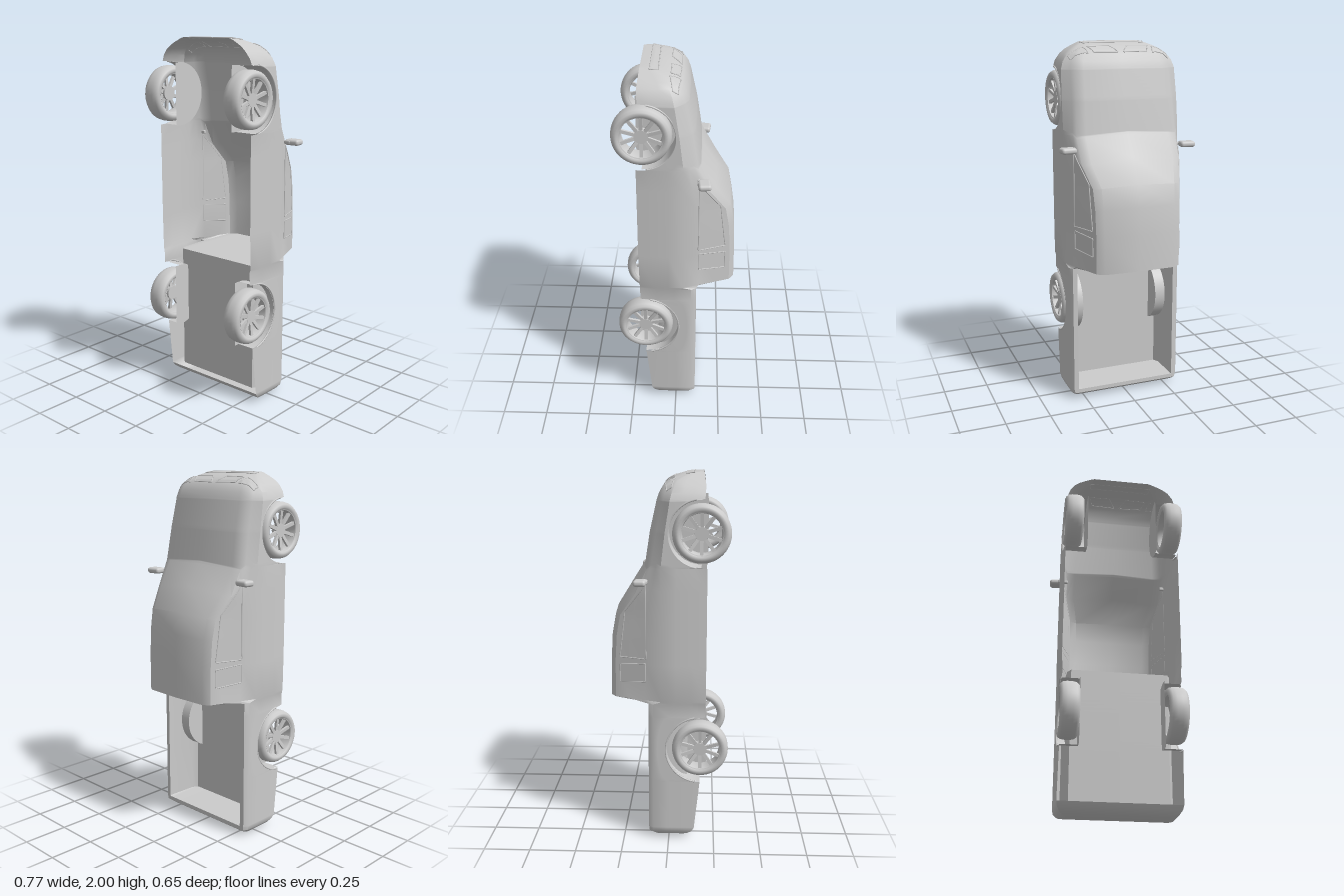
import * as THREE from 'three';
import { toCreasedNormals } from 'three/addons/utils/BufferGeometryUtils.js';
import { RoundedBoxGeometry } from 'three/addons/geometries/RoundedBoxGeometry.js';

const grey = new THREE.MeshStandardMaterial({ color: 0xcccccc, side: THREE.DoubleSide });
const { lerp } = THREE.MathUtils;
const WHEEL_Z = 0.17;
const WHEELS = [
  { end: 'Front', y: 1.695, arch: .174, inner: .2 },
  { end: 'Rear', y: .525, arch: .185, inner: .225 },
];

function add(parent, name, geometry, x = 0, y = 0, z = 0) {
  const mesh = new THREE.Mesh(geometry, grey);
  mesh.name = name;
  mesh.position.set(x, y, z);
  parent.add(mesh);
  return mesh;
}

// Surface through rows of points
function gridGeometry(rows) {
  const n = rows[0].length, index = [];
  for (let j = 0; j < rows.length - 1; j++) {
    for (let i = 0; i < n - 1; i++) {
      const a = j * n + i, b = a + 1, c = a + n, d = c + 1;
      index.push(a, b, c, b, d, c);
    }
  }
  const g = new THREE.BufferGeometry();
  g.setAttribute('position', new THREE.Float32BufferAttribute(rows.flat(2), 3));
  g.setIndex(index);
  return toCreasedNormals(g, 0.6);
}

// Value at y on a polyline of [y, value] entries
function sample(line, y, mix) {
  let k = 0;
  while (k < line.length - 2 && y > line[k + 1][0]) k++;
  const [y0, v0] = line[k], [y1, v1] = line[k + 1];
  return mix(v0, v1, (y - y0) / (y1 - y0));
}

// Half section of cabin or hood: shoulder, sloping side, rounded edge, crown
const crowned = (sx, sz, ex, ez, top) => [
  ...[0, .35, .7, 1].map(f => [lerp(sx, ex, f), lerp(sz, ez, f)]),
  [ex * .84, lerp(ez, top, .8)], [0, top],
];
// Half section of the load bed: rail, inner wall down to the floor
const bed = floor => [[.33, -.085], [.315, -.11], [.29, -.112], [.283, lerp(-.112, floor, .85)], [.265, floor], [0, floor]];
const closedTail = bed(-.112);

// Rounded tail: [y, width scale, height scale]
const TAIL = [[0, .82, 0], [.005, .88, .5], [.016, .94, .82], [.036, .985, 1], [.058, 1, 1]];
// Cabin, hood and nose: [y, shoulder x, z, edge x, z, crown z]
const CABIN = [
  [.80, .335, -.04, .24, -.292, -.325],
  [1.0, .335, -.04, .24, -.291, -.322],
  [1.15, .335, -.04, .242, -.282, -.314],
  [1.27, .335, -.04, .247, -.262, -.293],
  [1.40, .335, -.04, .28, -.183, -.213],
  [1.53, .335, -.04, .285, -.115, -.132],
  [1.70, .334, -.02, .275, -.085, -.105],
  [1.86, .328, .005, .27, -.048, -.07],
  [1.90, .314, .015, .265, -.035, -.056],
  [1.935, .287, .03, .25, -.012, -.035],
  [1.958, .258, .045, .225, .01, -.01],
  [1.976, .225, .075, .195, .045, .025],
  [1.99, .195, .105, .165, .085, .07],
  [1.998, .175, .14, .145, .127, .115],
  [2.0, .165, .18, .13, .18, .18],
];
const SECTIONS = [
  ...TAIL.map(([y, w, h]) => [y, closedTail.map(([x, z]) => [x * w, .03 + (z - .03) * h])]),
  ...[.062, .785].map(y => [y, bed(.1)]),
  ...CABIN.map(([y, ...p]) => [y, crowned(...p)]),
];
// Lower edge of the sides: [y, z]
const SILL = [[0, .03], [.005, .07], [.016, .1], [.036, .125], [.058, .14], [.34, .17], [.7, .195],
  [1, .2], [1.7, .2], [1.86, .185], [1.935, .19], [2, .18]];

function bodySection(y) {
  const top = sample(SECTIONS, y, (a, b, t) => a.map((p, i) => [lerp(p[0], b[i][0], t), lerp(p[1], b[i][1], t)]));
  let low = sample(SILL, y, lerp);
  // the lower edge rises around each wheel
  for (const w of WHEELS) {
    const d = Math.abs(y - w.y);
    if (d <= w.arch) low = Math.min(low, WHEEL_Z - Math.sqrt(w.arch ** 2 - d * d));
  }
  const [sx, sz] = top[0];
  const side = [0, .33, .67].map(f => {
    const z = lerp(low, sz, f);
    return [sx * (1 - Math.max(0, z - .03) ** 2), y, z];
  });
  // the windscreen bows forward at its centre
  const bow = .03 * Math.max(0, 1 - Math.abs(y - 1.4) / .3);
  const half = [...side, ...top.map(([x, z], i) => [x, i > 2 ? y - bow * (x / .28) ** 2 : y, z])];
  return [...half, ...half.slice(0, -1).reverse().map(([x, yy, z]) => [-x, yy, z])];
}

function bodyGeometry() {
  const ys = SECTIONS.map(s => s[0]);
  for (const { y, arch } of WHEELS) {
    for (let i = 0; i <= 24; i++) ys.push(y + (arch - 1e-6) * Math.cos(Math.PI * i / 24));
    ys.push(y - arch - .002, y + arch + .002);
  }
  return gridGeometry([...new Set(ys)].sort((a, b) => a - b).map(bodySection));
}

// Four-cornered panel laid onto the body along a ray direction, edged with a thin trim
function addPanel(model, body, name, corners, dir) {
  const [a, b, c, d] = corners.map(p => new THREE.Vector3(...p));
  const ray = new THREE.Raycaster(), rows = [], n = 10;
  for (let j = 0; j <= n; j++) {
    const row = [];
    for (let i = 0; i <= n; i++) {
      const p = a.clone().lerp(b, i / n).lerp(d.clone().lerp(c, i / n), j / n);
      ray.set(p.clone().addScaledVector(dir, -3), dir);
      const hit = ray.intersectObject(body)[0];
      row.push((hit ? hit.point : p).clone().addScaledVector(dir, -.002));
    }
    rows.push(row);
  }
  add(model, name, gridGeometry(rows.map(row => row.map(p => p.toArray()))));
  const border = [
    ...rows[0], ...rows.slice(1).map(r => r[n]),
    ...rows[n].slice(0, n).reverse(), ...rows.slice(1, n).map(r => r[0]).reverse(),
  ];
  const path = new THREE.CatmullRomCurve3(border, true, 'centripetal');
  add(model, name + 'Trim', new THREE.TubeGeometry(path, 120, .003, 6, true));
}

function makeWheel() {
  const wheel = new THREE.Group();
  const lathe = pts => new THREE.LatheGeometry(pts.map(p => new THREE.Vector2(...p)), 48);
  const tireHalf = [[.153, .015], [.149, .036], [.138, .05], [.122, .052], [.112, .044]];
  add(wheel, 'tire', lathe([...tireHalf.map(([r, h]) => [r, -h]).reverse(), ...tireHalf]));
  add(wheel, 'rim', toCreasedNormals(lathe([[.113, .046], [.108, .044], [.105, .03], [.103, -.03],
    [.108, -.044], [.113, -.046]]), .6));
  add(wheel, 'hub', new THREE.CylinderGeometry(.036, .04, .03, 24), 0, .015);
  // Spokes dish gently towards the hub
  for (let i = 0; i < 10; i++) {
    const pivot = new THREE.Group();
    pivot.rotation.y = i * Math.PI / 5;
    const spoke = add(pivot, 'spoke', new THREE.BoxGeometry(.078, .014, .018), .069, .026);
    spoke.rotation.z = .12;
    wheel.add(pivot);
  }
  return wheel;
}

function makeWheelWell({ inner, arch }) {
  const well = new THREE.Group(), r = arch - .002, width = .322 - inner;
  add(well, 'wellArch', new THREE.CylinderGeometry(r, r, width, 28, 1, true, Math.PI / 2, Math.PI)
    .rotateZ(-Math.PI / 2), inner + width / 2);
  add(well, 'wellInnerWall', new THREE.CircleGeometry(r, 28, -Math.PI / 2, Math.PI)
    .rotateY(Math.PI / 2), inner);
  add(well, 'wellSkirt', new THREE.PlaneGeometry(.034, 2 * r).rotateY(Math.PI / 2), inner, 0, .017);
  // Rolled lip around the opening
  add(well, 'archLip', new THREE.TorusGeometry(arch + .002, .005, 8, 32, Math.PI * .9)
    .rotateZ(-Math.PI * .45).rotateY(Math.PI / 2), .327);
  return well;
}

export function createModel() {
  const model = new THREE.Group();
  model.name = 'pickupTruck';
  const body = add(model, 'bodyShell', bodyGeometry());

  // Underside of the rounded tail
  add(model, 'rearBumperUnderside', gridGeometry(TAIL.map(([y]) => {
    const section = bodySection(y);
    return [section.at(-1), section[0]];
  })));

  const back = new THREE.Vector3(0, -1, 0);
  const nose = (name, pts) => addPanel(model, body, name, pts.map(([x, z]) => [x, 1.9, z]), back);
  nose('lowerIntake', [[-.175, .088], [.175, .088], [.185, .13], [-.185, .13]]);

  for (const side of [1, -1]) {
    const prefix = side > 0 ? 'left' : 'right';
    for (const w of WHEELS) {
      const wheel = makeWheel();
      wheel.name = prefix + w.end + 'Wheel';
      wheel.position.set(side * .283, w.y, WHEEL_Z);
      wheel.rotation.z = -side * Math.PI / 2;
      const well = makeWheelWell(w);
      well.name = prefix + w.end + 'WheelWell';
      well.position.set(0, w.y, WHEEL_Z);
      well.scale.x = side;
      model.add(wheel, well);
    }
    // Door mirror on a short arm
    const mirror = add(model, prefix + 'Mirror', new RoundedBoxGeometry(.084, .032, .066, 3, .014), side * .343, 1.448, -.147);
    mirror.rotation.y = side * .08;
    add(model, prefix + 'MirrorArm', new RoundedBoxGeometry(.06, .02, .016, 2, .006), side * .31, 1.448, -.118);

    // Side glass
    const inward = new THREE.Vector3(-side, 0, 0);
    const glass = (name, pts) => addPanel(model, body, prefix + name, pts.map(([y, z]) => [0, y, z]), inward);
    glass('FrontWindow', [[1.43, -.122], [1.28, -.235], [1.03, -.265], [1.03, -.122]]);
    glass('QuarterWindow', [[1.005, -.125], [.99, -.265], [.89, -.265], [.905, -.125]]);

    // Lamps and grille openings
    nose(prefix + 'Headlight', [[.185, -.025], [.28, -.012], [.285, .014], [.2, .03]].map(([x, z]) => [side * x, z]));
    nose(prefix + 'Grille', [[.016, -.025], [.152, -.02], [.175, .025], [.052, .025]].map(([x, z]) => [side * x, z]));
  }
  return model;
}
